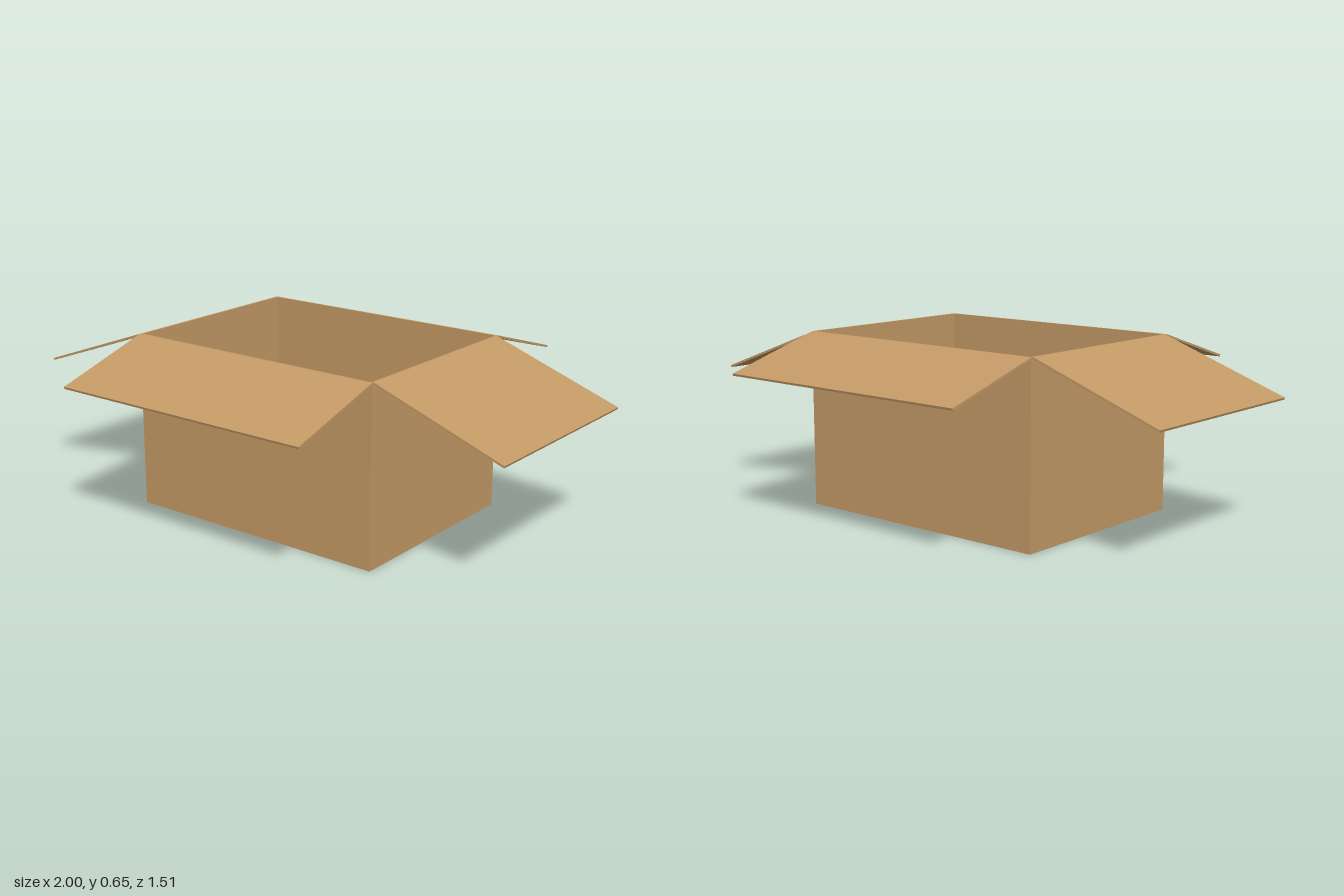
import * as THREE from 'three';

export function createModel() {
  const box = new THREE.Group();
  box.name = 'openCardboardBox';
  const cardboard = new THREE.MeshStandardMaterial({ color: 0xc49a66 });
  cardboard.name = 'cardboard';

  const X = 0.514, Z = 0.386, H = 0.648, T = 0.008; // half width, half depth, height, thickness

  const panel = (name, w, h, d, x, y, z, parent = box) => {
    const mesh = new THREE.Mesh(new THREE.BoxGeometry(w, h, d), cardboard);
    mesh.name = name;
    mesh.position.set(x, y, z);
    parent.add(mesh);
  };

  // Flap hinged along the top outer edge, sloping down and away
  const flap = (name, side, reach, drop, width, x, z, turn) => {
    const hinge = new THREE.Group();
    hinge.name = name + 'Hinge';
    hinge.position.set(x, H, z);
    hinge.rotation.order = 'YXZ';
    hinge.rotation.set(Math.atan2(drop, reach), turn, 0);
    const length = Math.hypot(reach, drop);
    panel(name, width, T, length, 0, -T / 2, length / 2, hinge);
    box.add(hinge);
  };

  // Floor
  panel('floor', 2 * X, T, 2 * Z, 0, T / 2, 0);

  // Walls and flaps, mirrored in pairs
  const wallH = H - T, wallY = T + wallH / 2;
  for (const s of [1, -1]) {
    const longName = s > 0 ? 'front' : 'back', shortName = s > 0 ? 'left' : 'right';
    panel(longName + 'Wall', 2 * X, wallH, T, 0, wallY, s * (Z - T / 2));
    panel(shortName + 'Wall', T, wallH, 2 * (Z - T), s * (X - T / 2), wallY, 0);
    flap(longName + 'Flap', s, 0.371, 0.113, 2 * X, 0, s * Z, s > 0 ? 0 : Math.PI);
    flap(shortName + 'Flap', s, 0.486, 0.174, 2 * (Z - T) - 0.004, s * X, 0, s * Math.PI / 2);
  }
  return box;
}
